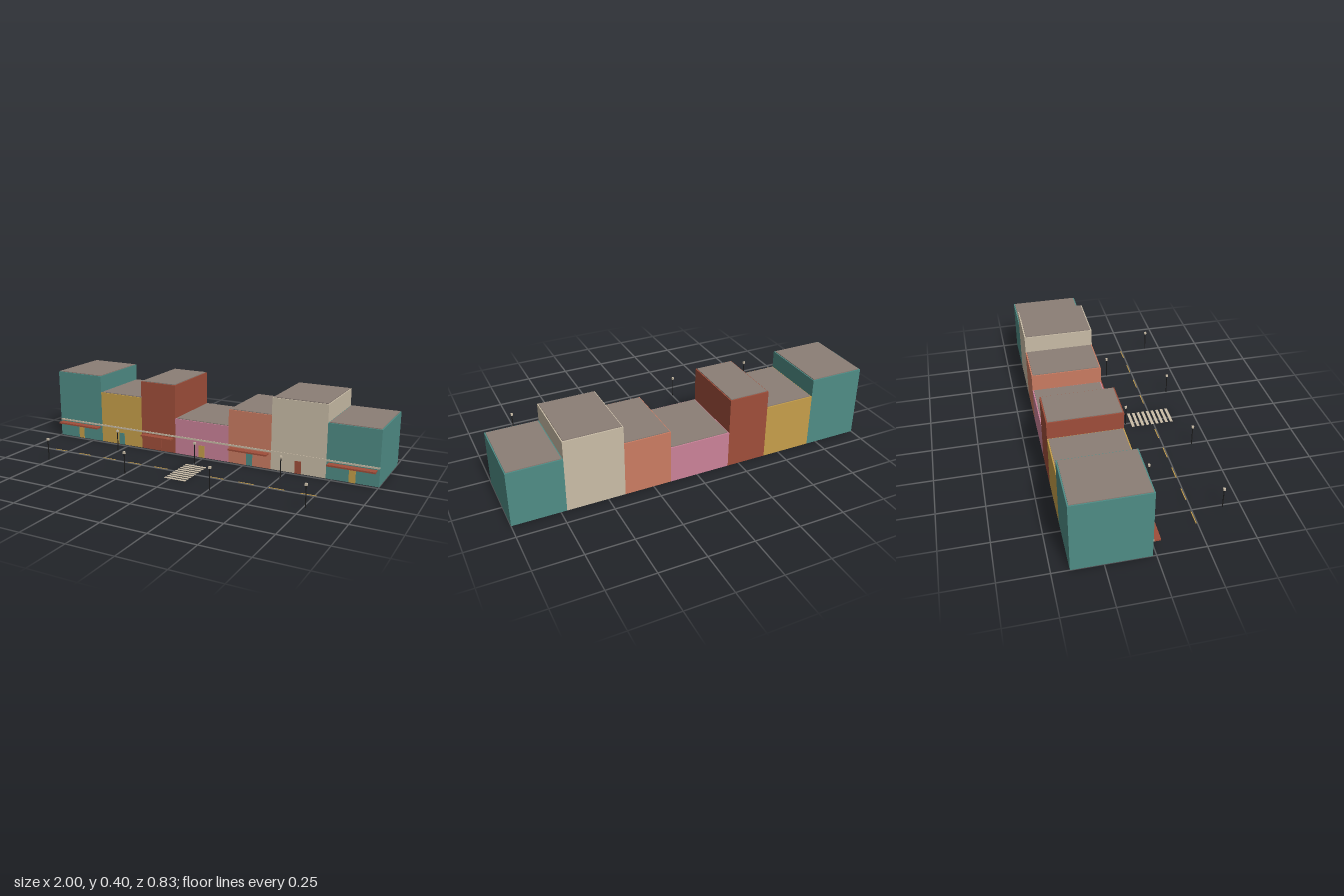
import * as THREE from 'three';

const material = (name, color) => {
  const m = new THREE.MeshStandardMaterial({ color });
  m.name = name;
  return m;
};

export function createModel() {
  const teal = material('teal', 0x4f8d86);
  const ochre = material('ochre', 0xc79f4a);
  const brick = material('brick red', 0xa04e3a);
  const pink = material('pink', 0xcb8299);
  const coral = material('coral', 0xcb7c62);
  const cream = material('cream', 0xcabda7);
  const slate = material('roof grey', 0x8b7e76);
  const black = material('lamp black', 0x1c1c1c);

  const model = new THREE.Group();
  model.name = 'streetOfShops';

  // Box given by its low and high limits on each axis
  const box = (name, mat, [x0, x1], [y0, y1], [z0, z1], parent = model) => {
    const mesh = new THREE.Mesh(new THREE.BoxGeometry(x1 - x0, y1 - y0, z1 - z0), mat);
    mesh.position.set((x0 + x1) / 2, (y0 + y1) / 2, (z0 + z1) / 2);
    mesh.name = name;
    parent.add(mesh);
    return mesh;
  };

  // Row of buildings: left edge, right edge, wall height, wall colour
  const back = -0.411, front = -0.018;
  const buildings = [
    [-1, -0.692, 0.4, teal],
    [-0.692, -0.41, 0.303, ochre],
    [-0.41, -0.185, 0.4, brick],
    [-0.185, 0.153, 0.207, pink],
    [0.153, 0.407, 0.303, coral],
    [0.407, 0.718, 0.4, cream],
    [0.718, 1, 0.303, teal],
  ];
  const doorColours = [ochre, teal, brick];

  buildings.forEach(([x0, x1, height, wall], i) => {
    const building = new THREE.Group();
    building.name = `building${i + 1}`;
    model.add(building);
    const mid = (x0 + x1) / 2;
    box('walls', wall, [x0, x1], [0, height], [back, front], building);
    box('roof', slate, [x0 + 0.006, x1 - 0.006], [height, height + 0.004],
      [back + 0.007, front - 0.007], building);
    box('door', doorColours[i % 3], [mid - 0.018, mid + 0.018], [0, 0.07],
      [front, front + 0.002], building);
    // Every second shop has an awning
    if (i % 2 === 0) {
      box('awning', brick, [x0 + 0.013, x1 - 0.013], [0.081, 0.09], [front, 0.022], building);
    }
  });

  // Sign band along all the shop fronts
  box('signBand', cream, [-1, 1], [0.096, 0.106], [front, front + 0.003]);

  // Street lamps, alternating between the two kerbs
  for (let i = -3; i <= 3; i++) {
    const lamp = new THREE.Group();
    lamp.name = 'streetLamp';
    lamp.position.set(i * 0.254, 0, i % 2 === 0 ? 0.093 : 0.408);
    if (i % 2 === 0) lamp.position.z = 0.408;
    // The middle lamp and its second neighbours stand on the shop side
    lamp.position.z = [-2, 0, 2].includes(i) ? 0.093 : 0.408;
    const post = new THREE.Mesh(new THREE.CylinderGeometry(0.0028, 0.0028, 0.112, 8), black);
    post.name = 'post';
    post.position.y = 0.056;
    lamp.add(post);
    box('lampHead', cream, [-0.006, 0.006], [0.112, 0.124], [-0.006, 0.006], lamp);
    model.add(lamp);
  }

  // Centre line dashes, broken at the crossing
  for (let i = 0; i < 10; i++) {
    if (i === 5) continue;
    const x = -0.845 + i * 0.169;
    box('laneDash', ochre, [x, x + 0.083], [0, 0.002], [0.241, 0.246]);
  }

  // Pedestrian crossing
  for (let i = 0; i < 9; i++) {
    const z = 0.131 + i * 0.0282;
    box('crossingStripe', cream, [-0.037, 0.088], [0, 0.002], [z - 0.008, z + 0.008]);
  }

  return model;
}
